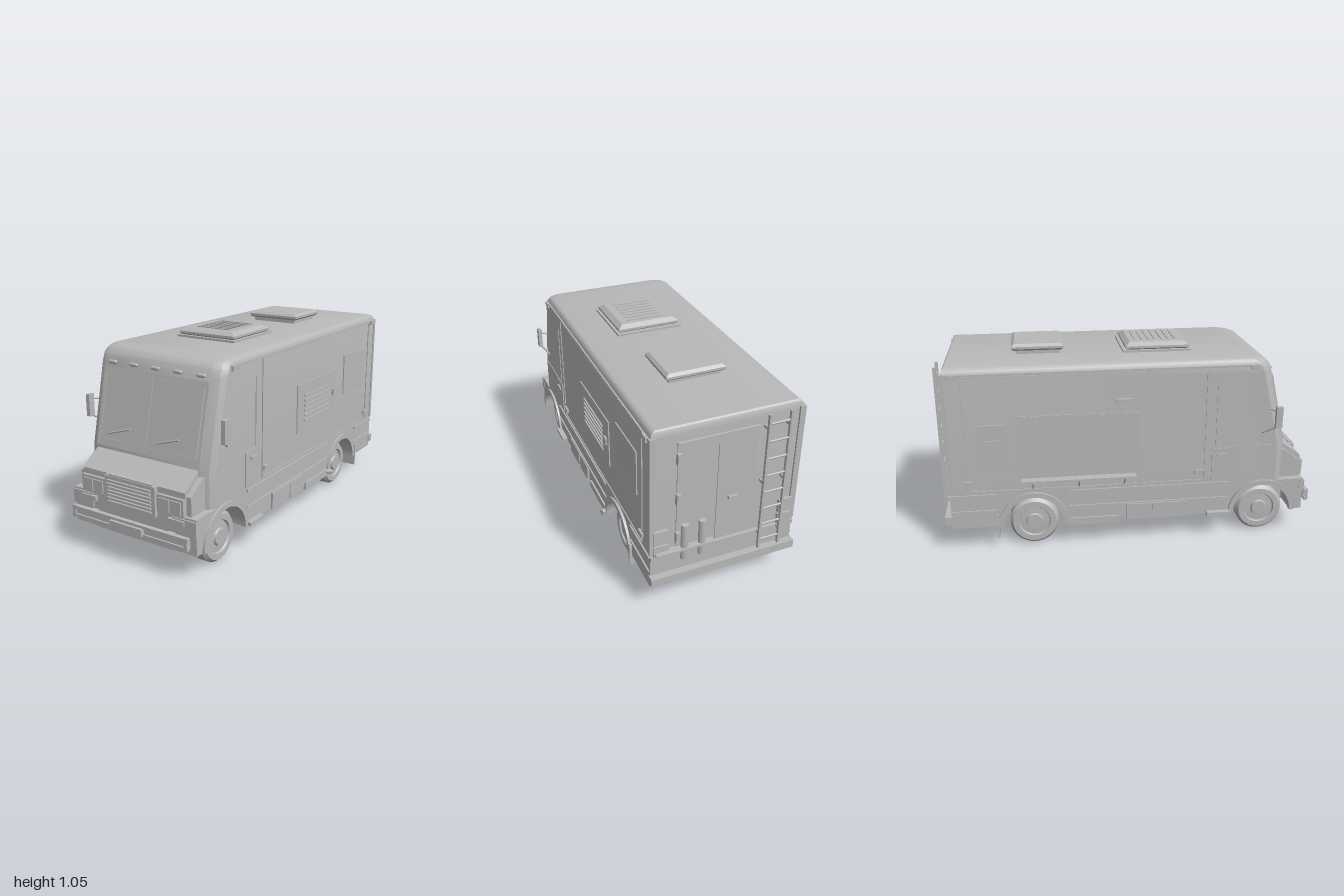
import * as THREE from 'three';
import { toCreasedNormals } from 'three/addons/utils/BufferGeometryUtils.js';
import { ConvexGeometry } from 'three/addons/geometries/ConvexGeometry.js';

export function createModel() {
  const root = new THREE.Group();
  root.name = 'stepVan';
  const grey = new THREE.MeshStandardMaterial({ color: 0xb8b8b8 });
  grey.name = 'plain grey';

  const add = (name, geo, parent = root) => {
    const m = new THREE.Mesh(geo, grey);
    m.name = name;
    parent.add(m);
    return m;
  };
  // Box given by its extents
  const box = (name, x0, x1, y0, y1, z0, z1, parent = root) => {
    const m = add(name, new THREE.BoxGeometry(Math.abs(x1 - x0), y1 - y0, Math.abs(z1 - z0)), parent);
    m.position.set((x0 + x1) / 2, (y0 + y1) / 2, (z0 + z1) / 2);
    return m;
  };
  // Rod between two points
  const rod = (name, a, b, r, parent = root) => {
    const A = new THREE.Vector3(...a), B = new THREE.Vector3(...b);
    const m = add(name, new THREE.CylinderGeometry(r, r, A.distanceTo(B), 8), parent);
    m.position.copy(A).add(B).multiplyScalar(0.5);
    m.quaternion.setFromUnitVectors(new THREE.Vector3(0, 1, 0), B.sub(A).normalize());
    return m;
  };
  // Side profile (z, y) extruded from x0 to x1
  const extrudeX = (name, shape, x0, x1) => {
    const g = new THREE.ExtrudeGeometry(shape, { depth: x1 - x0, bevelEnabled: false, curveSegments: 20 });
    g.rotateY(-Math.PI / 2).translate(x1, 0, 0);
    return add(name, toCreasedNormals(g, 0.5));
  };
  const hull = (name, pts) => add(name, toCreasedNormals(new ConvexGeometry(pts.map(p => new THREE.Vector3(...p))), 0.5));
  // Thin raised frame on a side wall
  const sideFrame = (name, s, y0, y1, z0, z1, t = 0.006) => {
    const a = s * 0.378, b = s * 0.385;
    box(name, a, b, y0, y0 + t, z0, z1);
    box(name, a, b, y1 - t, y1, z0, z1);
    box(name, a, b, y0, y1, z0, z0 + t);
    box(name, a, b, y0, y1, z1 - t, z1);
  };

  // Upper body: horizontal outlines [y, front z, half width, rear z]
  const pts = [];
  [[0.31, 0.83, 0.38, -0.955], [0.5, 0.83, 0.38, -0.955], [0.92, 0.735, 0.38, -0.955], [0.96, 0.72, 0.38, -0.955],
    [0.982, 0.70, 0.374, -0.953], [0.994, 0.675, 0.364, -0.948], [1.0, 0.645, 0.35, -0.94]].forEach(([y, f, w, r]) => {
    for (const s of [-1, 1]) pts.push([s * w, y, r], [s * w, y, f - 0.05], [s * (w - 0.02), y, f - 0.02], [s * (w - 0.06), y, f]);
  });
  hull('body', pts);

  // Lower body with open wheel arches
  const axles = [-0.53, 0.71], axleY = 0.13;
  const skirt = new THREE.Shape();
  skirt.moveTo(-0.96, axleY);
  axles.forEach(z => { skirt.lineTo(z - 0.165, axleY); skirt.absarc(z, axleY, 0.165, Math.PI, 0, true); });
  skirt.lineTo(0.94, axleY);
  skirt.lineTo(0.94, 0.31);
  skirt.lineTo(-0.96, 0.31);
  extrudeX('skirt', skirt, 0.24, 0.38);
  extrudeX('skirt', skirt, -0.38, -0.24);
  box('floor', -0.24, 0.24, 0.125, 0.31, -0.96, 0.94);

  // Wheels, arch flares and mudflaps
  const tyre = toCreasedNormals(new THREE.LatheGeometry([[0, -0.045], [0.115, -0.045], [0.13, -0.028], [0.13, 0.028], [0.115, 0.045],
    [0.085, 0.045], [0.08, 0.035], [0.045, 0.037], [0.04, 0.048], [0, 0.048]].map(p => new THREE.Vector2(...p)), 28), 0.5);
  for (const s of [-1, 1]) axles.forEach(z => {
    const w = add(z > 0 ? 'frontWheel' : 'rearWheel', tyre);
    w.rotation.z = -s * Math.PI / 2;
    w.position.set(s * 0.303, axleY, z);
    const arch = new THREE.Shape();
    arch.absarc(z, axleY, 0.187, 0, Math.PI, false);
    arch.absarc(z, axleY, 0.16, Math.PI, 0, true);
    extrudeX('archFlare', arch, s > 0 ? 0.36 : -0.393, s > 0 ? 0.393 : -0.36);
  });

  for (const s of [-1, 1]) {
    box('mudflap', s * 0.26, s * 0.395, 0.07, 0.2, -0.725, -0.715);
    // Belt mouldings between the arches and behind them
    for (const [y, h] of [[0.305, 0.014], [0.222, 0.007]])
      for (const [a, b] of [[-0.955, -0.71], [-0.345, 0.525]]) box('beltMoulding', s * 0.375, s * 0.388, y, y + h, a, b);
    box('rearCornerPost', s * 0.355, s * 0.385, 0.33, 0.97, -0.965, -0.945);
    box('chassisRail', s * 0.21, s * 0.245, 0.11, 0.13, -0.35, 0.53);
    box('cabStep', s * 0.33, s * 0.41, 0.13, 0.148, 0.4, 0.53);
    box('sideRail', s * 0.35, s * 0.39, 0.115, 0.155, -0.35, -0.08);
    box('sideLocker', s * 0.375, s * 0.392, 0.13, 0.22, -0.04, 0.29);
    box('lockerDivider', s * 0.38, s * 0.397, 0.13, 0.22, 0.1, 0.11);
    // Cargo panel, cab door and lamps
    sideFrame('cargoPanelFrame', s, 0.335, 0.955, -0.87, 0.385, 0.005);
    box('doorRearSeam', s * 0.378, s * 0.384, 0.52, 0.88, 0.438, 0.445);
    box('doorSill', s * 0.378, s * 0.384, 0.515, 0.523, 0.44, 0.745);
    box('doorLowerPanel', s * 0.378, s * 0.386, 0.335, 0.515, 0.42, 0.54);
    box('doorHandle', s * 0.38, s * 0.395, 0.47, 0.485, 0.45, 0.5);
    box('roofGutter', s * 0.375, s * 0.386, 0.958, 0.968, -0.95, 0.64);
    for (const [y, z] of [[0.955, -0.91], [0.955, 0.63], [0.385, 0.35], [0.385, -0.86]])
      box('markerLamp', s * 0.378, s * 0.392, y - 0.012, y + 0.012, z - 0.024, z + 0.024);
    // Mirrors
    box('mirror', s * 0.408, s * 0.43, 0.63, 0.745, 0.745, 0.78);
    rod('mirrorArm', [s * 0.37, 0.585, 0.68], [s * 0.415, 0.635, 0.76], 0.006);
    rod('mirrorStay', [s * 0.37, 0.72, 0.72], [s * 0.415, 0.72, 0.76], 0.004);
  }

  // +x side: louvred vent, hatch and exhaust
  box('ventPanel', 0.378, 0.386, 0.475, 0.745, -0.425, 0.03);
  for (let i = 0; i < 6; i++) box('ventLouvre', 0.385, 0.394, 0.53 + i * 0.028, 0.54 + i * 0.028, -0.34, -0.04);
  box('ventLatch', 0.385, 0.396, 0.6, 0.64, -0.405, -0.375);
  box('sideHatch', 0.378, 0.386, 0.57, 0.81, -0.805, -0.53);
  rod('exhaust', [0.3, 0.14, -0.3], [0.415, 0.14, -0.36], 0.014);

  // -x side: serving hatch, counter, access panel and lamp
  box('servingHatch', -0.386, -0.378, 0.405, 0.73, -0.595, 0.02);
  sideFrame('hatchFrame', -1, 0.395, 0.74, -0.605, 0.03, 0.01);
  box('counter', -0.432, -0.38, 0.387, 0.4, -0.59, 0.01);
  for (const z of [-0.53, -0.29, -0.05]) rod('counterBrace', [-0.425, 0.388, z], [-0.38, 0.34, z], 0.004);
  box('accessPanel', -0.387, -0.378, 0.46, 0.7, -0.8, -0.65);
  box('accessHandle', -0.397, -0.38, 0.55, 0.62, -0.73, -0.72);
  box('accessLatch', -0.395, -0.38, 0.61, 0.62, -0.76, -0.69);
  box('awningLamp', -0.398, -0.38, 0.795, 0.815, -0.09, -0.01);

  // Windshield group, tilted with the front slope
  const ws = new THREE.Group();
  ws.name = 'windshield';
  ws.position.set(0, 0.71, 0.7825);
  ws.rotation.x = -Math.atan2(0.095, 0.42);
  root.add(ws);
  box('windshieldFrame', -0.32, 0.32, -0.2, 0.195, -0.004, 0.004, ws);
  for (const s of [-1, 1]) {
    box('glass', s * 0.004, s * 0.295, -0.16, 0.165, 0, 0.008, ws);
    box('glassEdge', s * 0.295, s * 0.301, -0.165, 0.17, 0, 0.011, ws);
    rod('wiper', [-0.17 + s * 0.07 + (s > 0 ? 0.16 : 0), -0.133, 0.016], [-0.035 + s * 0.07 + (s > 0 ? 0.16 : 0), -0.093, 0.016], 0.005, ws);
  }
  box('glassEdge', -0.295, 0.295, 0.165, 0.171, 0, 0.011, ws);
  box('glassEdge', -0.295, 0.295, -0.166, -0.16, 0, 0.011, ws);
  for (const x of [-0.27, -0.135, 0, 0.135, 0.27]) {
    const lamp = add('roofMarkerLamp', new THREE.CapsuleGeometry(0.01, 0.032, 4, 10), ws);
    lamp.rotation.z = Math.PI / 2;
    lamp.position.set(x, 0.22, 0.004);
  }

  // Hood, headlamps and grille
  const hood = [];
  for (const x of [-0.315, 0.315]) hood.push([x, 0.3, 0.8], [x, 0.5, 0.8], [x, 0.5, 0.83], [x, 0.425, 0.935], [x, 0.3, 0.935]);
  hull('hood', hood);
  for (const s of [-1, 1]) {
    const side = [];
    for (const x of [0.312, 0.342]) side.push([s * x, 0.3, 0.8], [s * x, 0.47, 0.8], [s * x, 0.47, 0.835], [s * x, 0.405, 0.925], [s * x, 0.3, 0.925]);
    hull('hoodSide', side);
    box('headlampHousing', s * 0.16, s * 0.315, 0.305, 0.395, 0.92, 0.95);
    box('headlamp', s * 0.175, s * 0.235, 0.318, 0.382, 0.94, 0.957);
    box('headlamp', s * 0.242, s * 0.302, 0.318, 0.382, 0.94, 0.957);
    box('cornerPanel', s * 0.25, s * 0.383, 0.23, 0.3, 0.92, 0.948);
    box('turnLamp', s * 0.225, s * 0.32, 0.268, 0.292, 0.94, 0.957);
    box('bumperBracket', s * 0.22, s * 0.26, 0.18, 0.22, 0.93, 0.975);
    box('bumperEnd', s * 0.34, s * 0.357, 0.165, 0.23, 0.965, 0.985);
  }
  box('grille', -0.155, 0.155, 0.275, 0.425, 0.93, 0.958);
  box('grilleFrame', -0.135, 0.135, 0.27, 0.432, 0.93, 0.954);
  for (let i = 0; i < 7; i++) box('grilleBar', -0.135, 0.135, 0.29 + i * 0.018, 0.299 + i * 0.018, 0.955, 0.968);

  // Front bumper
  box('bumper', -0.36, 0.36, 0.17, 0.185, 0.962, 0.985);
  box('bumper', -0.36, 0.36, 0.21, 0.228, 0.962, 0.985);
  box('bumperCore', -0.355, 0.355, 0.18, 0.215, 0.955, 0.976);
  box('bumperPlate', -0.1, 0.1, 0.177, 0.215, 0.975, 1.0);

  // Roof units: stacked bevelled lids, levels [y, inset]
  const lid = (name, w, z0, z1, levels) => {
    const p = [];
    for (const [y, i] of levels) for (const s of [-1, 1]) p.push([s * (w - i), y, z0 + i], [s * (w - i), y, z1 - i]);
    hull(name, p);
  };
  box('coolerBase', -0.18, 0.18, 0.995, 1.011, -0.03, 0.335);
  lid('cooler', 0.17, -0.015, 0.325, [[1.01, 0.01], [1.018, 0], [1.03, 0], [1.048, 0.025]]);
  for (let i = 0; i < 7; i++) box('coolerSlat', -0.1, 0.1, 1.045, 1.053, 0.04 + i * 0.036, 0.048 + i * 0.036);
  box('roofVentNeck', -0.135, 0.135, 0.995, 1.025, -0.59, -0.36);
  lid('roofVentLid', 0.155, -0.612, -0.34, [[1.02, 0.012], [1.03, 0], [1.042, 0], [1.055, 0.015]]);

  // Rear: door seams, hinges, lamps, grab bars
  box('rearDoor', -0.15, 0.25, 0.33, 0.92, -0.961, -0.95);
  box('rearDoorSeam', 0.045, 0.05, 0.33, 0.87, -0.966, -0.95);
  box('rearDoorTop', -0.15, 0.25, 0.915, 0.922, -0.967, -0.95);
  for (const y of [0.4, 0.62, 0.84]) box('rearHinge', 0.235, 0.255, y - 0.03, y + 0.03, -0.977, -0.95);
  box('rearLatch', -0.06, -0.01, 0.55, 0.565, -0.975, -0.95);
  for (const x of [0.12, 0.21]) {
    const tank = rod('rearCanister', [x, 0.27, -0.972], [x, 0.47, -0.972], 0.02);
    tank.scale.z = 0.9;
  }
  box('canisterStrap', 0.06, 0.36, 0.33, 0.34, -0.994, -0.955);
  for (const s of [-1, 1]) {
    box('tailLamp', s * 0.29, s * 0.365, 0.3, 0.375, -0.972, -0.95);
    box('tailLamp', s * 0.29, s * 0.365, 0.385, 0.46, -0.972, -0.95);
  }
  box('rearBumper', -0.385, 0.385, 0.155, 0.2, -0.995, -0.95);
  box('rearSill', -0.38, 0.38, 0.295, 0.315, -0.972, -0.95);

  // Rear ladder
  for (const x of [-0.18, -0.29]) {
    box('ladderRail', x - 0.006, x + 0.006, 0.22, 0.985, -1.0, -0.985);
    for (const y of [0.3, 0.6, 0.9]) box('ladderMount', x - 0.005, x + 0.005, y, y + 0.015, -0.99, -0.95);
  }
  for (let i = 0; i < 8; i++) rod('ladderRung', [-0.18, 0.27 + i * 0.095, -0.992], [-0.29, 0.27 + i * 0.095, -0.992], 0.006);

  return root;
}
